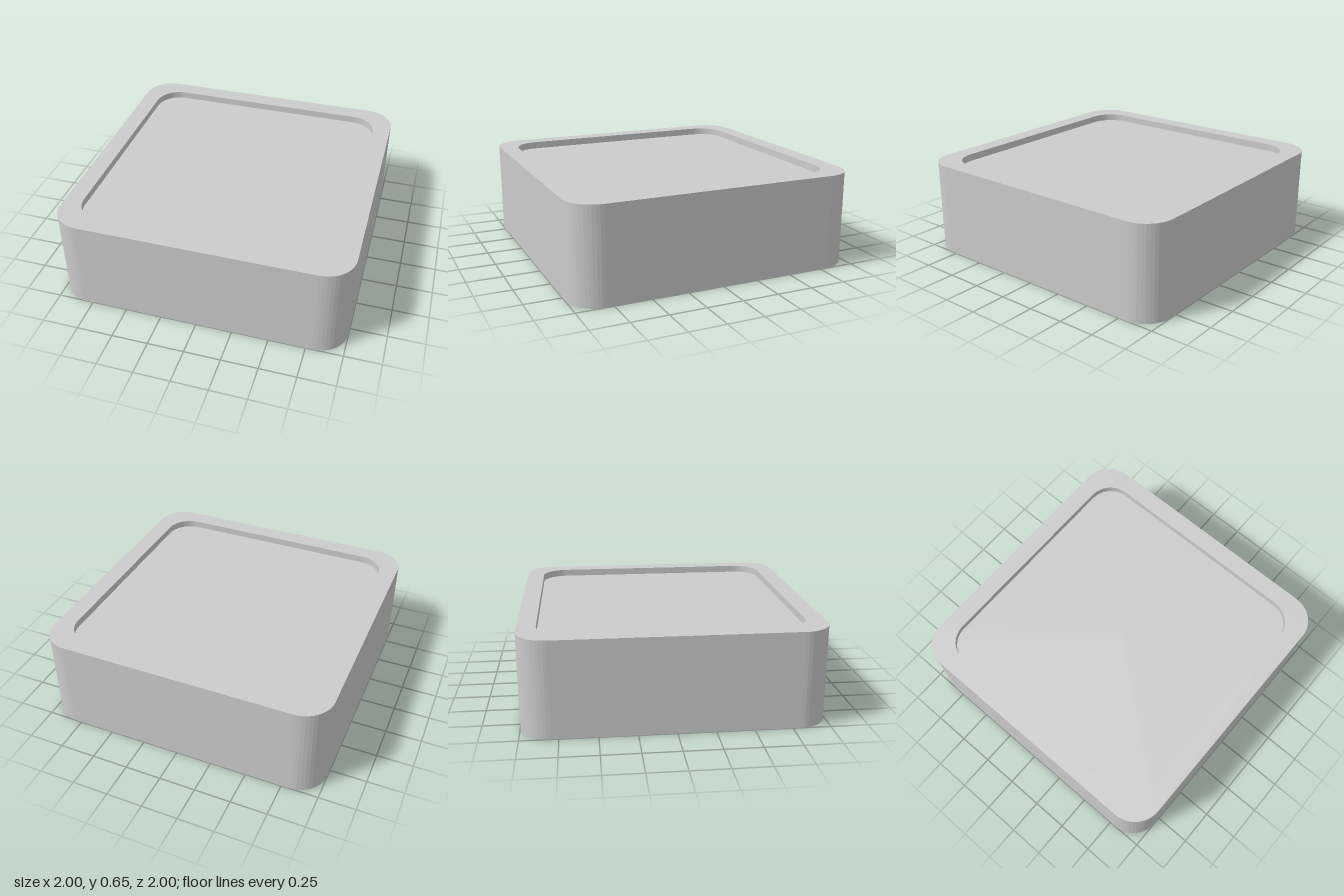
import * as THREE from 'three';

const HEIGHT = 0.65, RADIUS = 0.2, RECESS = 0.05, INNER = 0.875, STEPS = 12;

// Outline of a rounded square, counter-clockwise seen from above, half-width 1
function roundedSquare() {
  const points = [];
  for (let corner = 0; corner < 4; corner++) {
    const start = corner * Math.PI / 2;
    const middle = start + Math.PI / 4;
    const cx = Math.sign(Math.cos(middle)) * (1 - RADIUS);
    const cy = Math.sign(Math.sin(middle)) * (1 - RADIUS);
    for (let i = 0; i <= STEPS; i++) {
      const a = start + (i / STEPS) * Math.PI / 2;
      points.push([cx + RADIUS * Math.cos(a), cy + RADIUS * Math.sin(a)]);
    }
  }
  return points;
}

// Closed skin through scaled copies of the outline; each ring is [scale, y]
function skin(outline, rings) {
  const position = [], index = [], n = outline.length;
  for (const [scale, y] of rings) {
    for (const [px, py] of outline) position.push(px * scale, y, -py * scale);
  }
  for (let r = 0; r < rings.length - 1; r++) {
    for (let i = 0; i < n; i++) {
      const j = (i + 1) % n;
      const a = r * n + i, b = r * n + j, c = b + n, d = a + n;
      if (rings[r][0] > 0) index.push(a, b, c);
      else index.push(b, c, d);
      if (rings[r][0] > 0 && rings[r + 1][0] > 0) index.push(a, c, d);
    }
  }
  const indexed = new THREE.BufferGeometry();
  indexed.setAttribute('position', new THREE.Float32BufferAttribute(position, 3));
  indexed.setIndex(index);
  const geometry = indexed.toNonIndexed();
  geometry.computeVertexNormals();
  return geometry;
}

export function createModel() {
  const group = new THREE.Group();
  group.name = 'shallowTray';

  // Underside, outer wall, flat rim, recess wall and recess floor
  const geometry = skin(roundedSquare(), [
    [0, 0],
    [1, 0],
    [1, HEIGHT],
    [INNER, HEIGHT],
    [INNER, HEIGHT - RECESS],
    [0, HEIGHT - RECESS],
  ]);
  const body = new THREE.Mesh(
    geometry,
    new THREE.MeshStandardMaterial({ color: 0xcccccc, flatShading: true }),
  );
  body.name = 'recessedBlock';
  group.add(body);
  return group;
}
